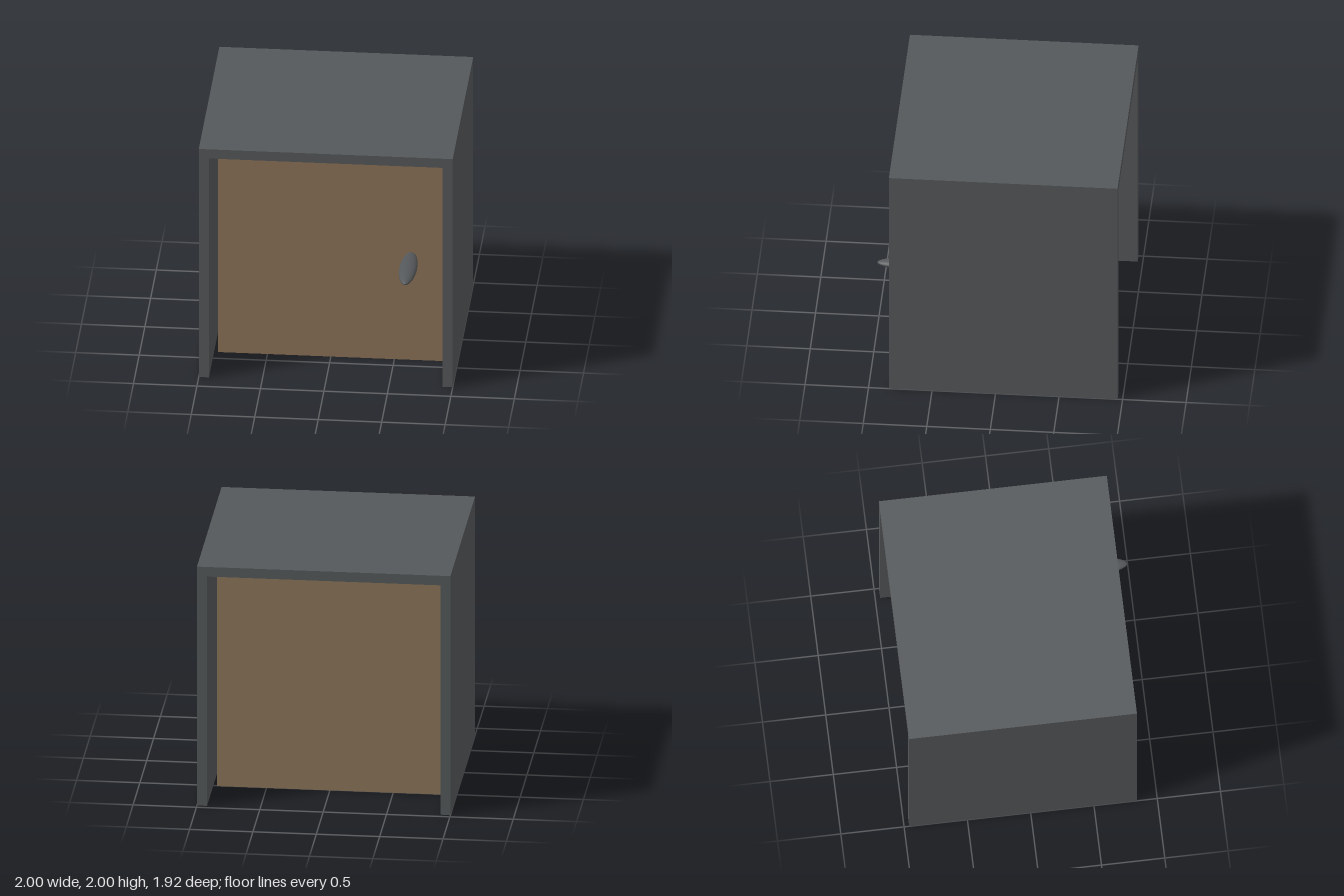
import * as THREE from 'three';

export function createModel() {
  const model = new THREE.Group();
  const slate = new THREE.MeshStandardMaterial({ color: 0x55585a });
  slate.name = 'slate grey';
  const wood = new THREE.MeshStandardMaterial({ color: 0x8b7358 });
  wood.name = 'wood brown';

  const add = (name, geometry, material, x, y, z) => {
    const mesh = new THREE.Mesh(geometry, material);
    mesh.name = name;
    mesh.position.set(x, y, z);
    model.add(mesh);
    return mesh;
  };

  const wall = 0.08, depth = 1.8, centreZ = -0.06;

  // Deep door frame: two jambs and a lintel, open at the bottom
  const inner = 1 - wall, top = 2 - wall;
  const outline = new THREE.Shape([
    [-1, 0], [-inner, 0], [-inner, top], [inner, top],
    [inner, 0], [1, 0], [1, 2], [-1, 2],
  ].map(([x, y]) => new THREE.Vector2(x, y)));
  const frame = new THREE.ExtrudeGeometry(outline, { depth, bevelEnabled: false });
  add('doorFrame', frame, slate, 0, 0, centreZ - depth / 2);

  // Thick door block, recessed half-way and clear of the jambs
  add('door', new THREE.BoxGeometry(1.78, top, 0.9), wood, 0, top / 2, centreZ);

  // Long ellipsoid handle reaching out past the frame
  const handle = add('doorHandle', new THREE.SphereGeometry(1, 32, 24), slate, 0.635, 0.945, 0.68);
  handle.scale.set(0.07, 0.038, 0.28);

  return model;
}
